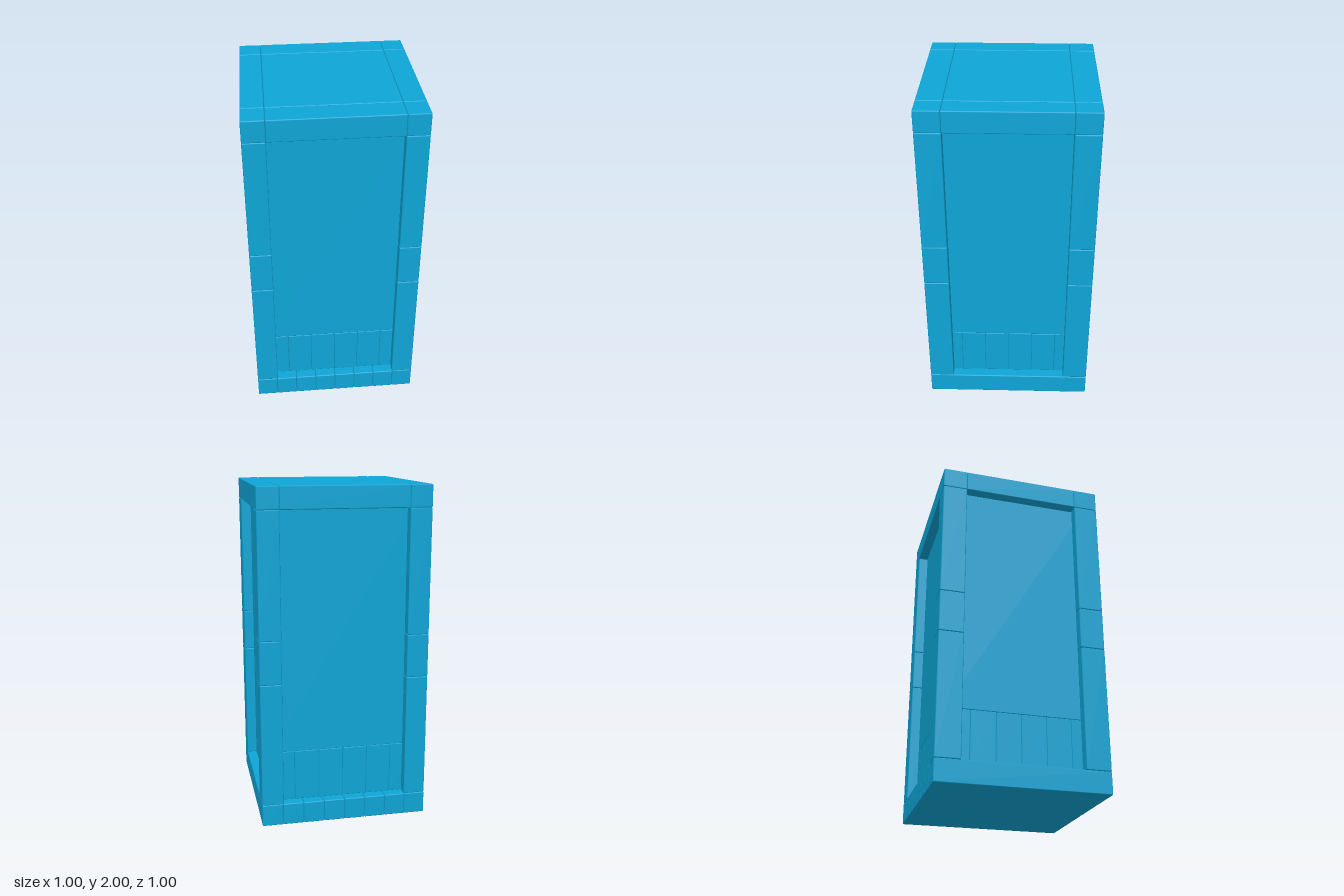
import * as THREE from 'three';
import { RoundedBoxGeometry } from 'three/addons/geometries/RoundedBoxGeometry.js';

export function createModel() {
  const model = new THREE.Group();
  model.name = 'panelledColumn';
  const material = new THREE.MeshStandardMaterial({ color: 0x0ea5d6 });

  // Bevelled block given by its lower and upper corners
  function block(name, [x0, y0, z0], [x1, y1, z1], bevel = 0.006) {
    const geometry = new RoundedBoxGeometry(x1 - x0, y1 - y0, z1 - z0, 1, bevel);
    const mesh = new THREE.Mesh(geometry, material);
    mesh.name = name;
    mesh.position.set((x0 + x1) / 2, (y0 + y1) / 2, (z0 + z1) / 2);
    model.add(mesh);
  }

  const half = 0.5;      // outer half width
  const inX = 0.371;     // inner edge of posts along x
  const inZ = 0.352;     // inner edge of posts along z
  const wall = 0.44;     // recessed wall plane
  const base = 0.132, skirt = 0.44, cap = 1.87, top = 2;

  // Base: eight planks running front to back
  for (let i = 0; i < 8; i++) {
    const x = -half + i / 8;
    block('basePlank', [x, 0, -half], [x + 1 / 8, base, half]);
  }

  // Corner posts in three stacked blocks, with a cap block on top
  const levels = [base, 0.877, 1.135, cap, top];
  for (const sx of [-1, 1]) {
    for (const sz of [-1, 1]) {
      for (let i = 0; i < 4; i++) {
        const xs = [sx * inX, sx * half].sort((a, b) => a - b);
        const zs = [sz * inZ, sz * half].sort((a, b) => a - b);
        block(i < 3 ? 'cornerPost' : 'cornerCap', [xs[0], levels[i], zs[0]], [xs[1], levels[i + 1], zs[1]]);
      }
    }
  }

  // Top beams and the panel they frame
  block('frontTopBeam', [-inX, cap, inZ], [inX, top, half]);
  block('backTopBeam', [-inX, cap, -half], [inX, top, -inZ]);
  block('leftTopBeam', [inX, cap, -inZ], [half, top, inZ]);
  block('rightTopBeam', [-half, cap, -inZ], [-inX, top, inZ]);
  block('topPanel', [-inX, cap, -inZ], [inX, top, inZ]);

  // Recessed walls
  block('wallCore', [-wall, skirt, -wall], [wall, cap + 0.03, wall], 0.004);

  // Skirting: six upright planks on each side
  const w = wall / 3, thick = 0.08;
  for (let i = 0; i < 6; i++) {
    const a = -wall + i * w, b = a + w;
    block('frontSkirtPlank', [a, base, wall - thick], [b, skirt, wall], 0.004);
    block('backSkirtPlank', [a, base, -wall], [b, skirt, thick - wall], 0.004);
    block('leftSkirtPlank', [wall - thick, base, a], [wall, skirt, b], 0.004);
    block('rightSkirtPlank', [-wall, base, a], [thick - wall, skirt, b], 0.004);
  }

  return model;
}
